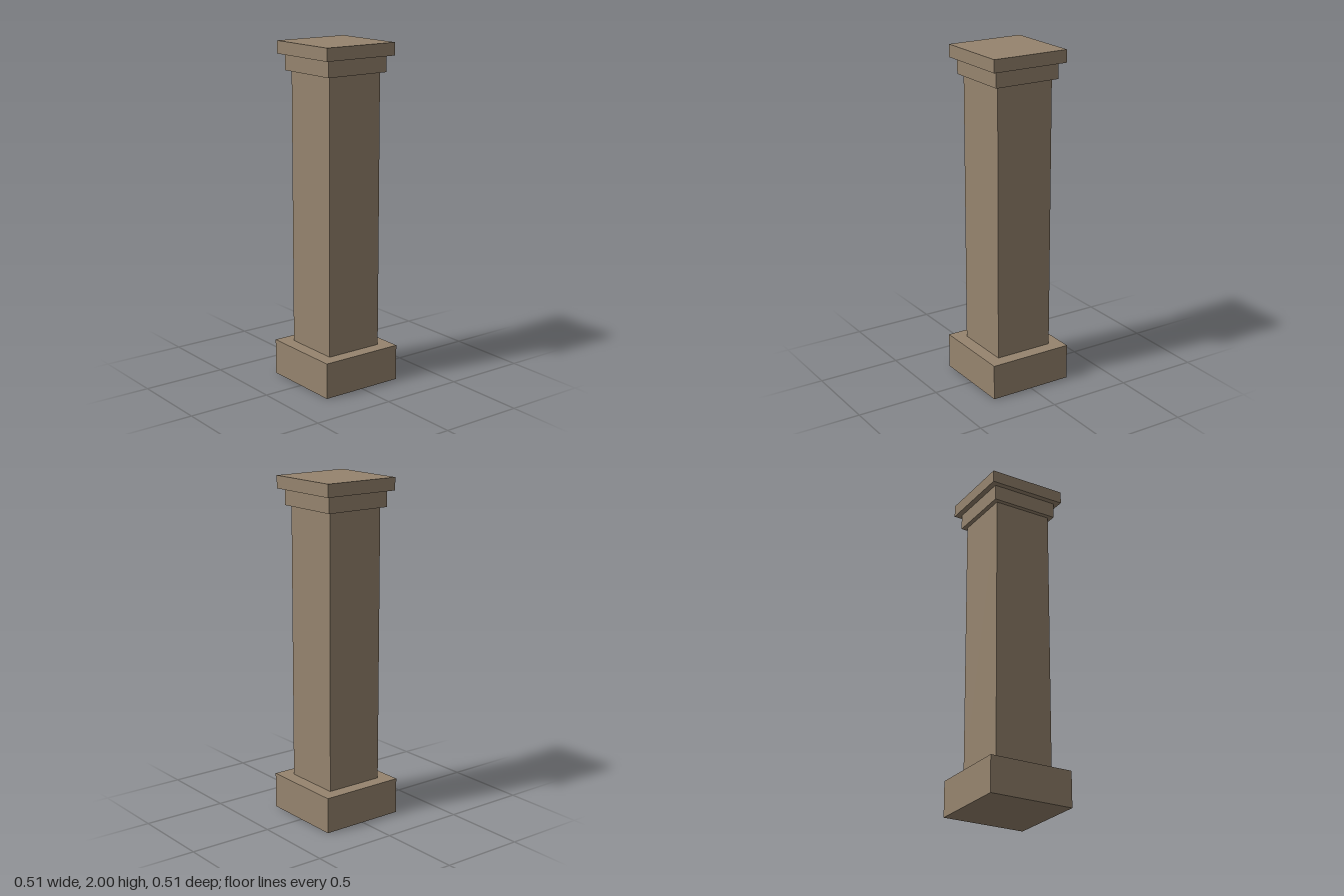
import * as THREE from 'three';

export function createModel() {
  const model = new THREE.Group();
  model.name = 'squareColumn';

  const stone = new THREE.MeshStandardMaterial({ color: 0x96846e });
  stone.name = 'stone';

  // Square block of the given width between two heights
  function addBlock(name, width, bottom, top) {
    const block = new THREE.Mesh(new THREE.BoxGeometry(width, top - bottom, width), stone);
    block.name = name;
    block.position.y = (bottom + top) / 2;
    model.add(block);
  }

  addBlock('base', 0.513, 0, 0.212);
  addBlock('shaft', 0.356, 0.212, 1.832);
  addBlock('capitalNeck', 0.408, 1.832, 1.926);
  addBlock('capitalSlab', 0.473, 1.926, 2);

  return model;
}
